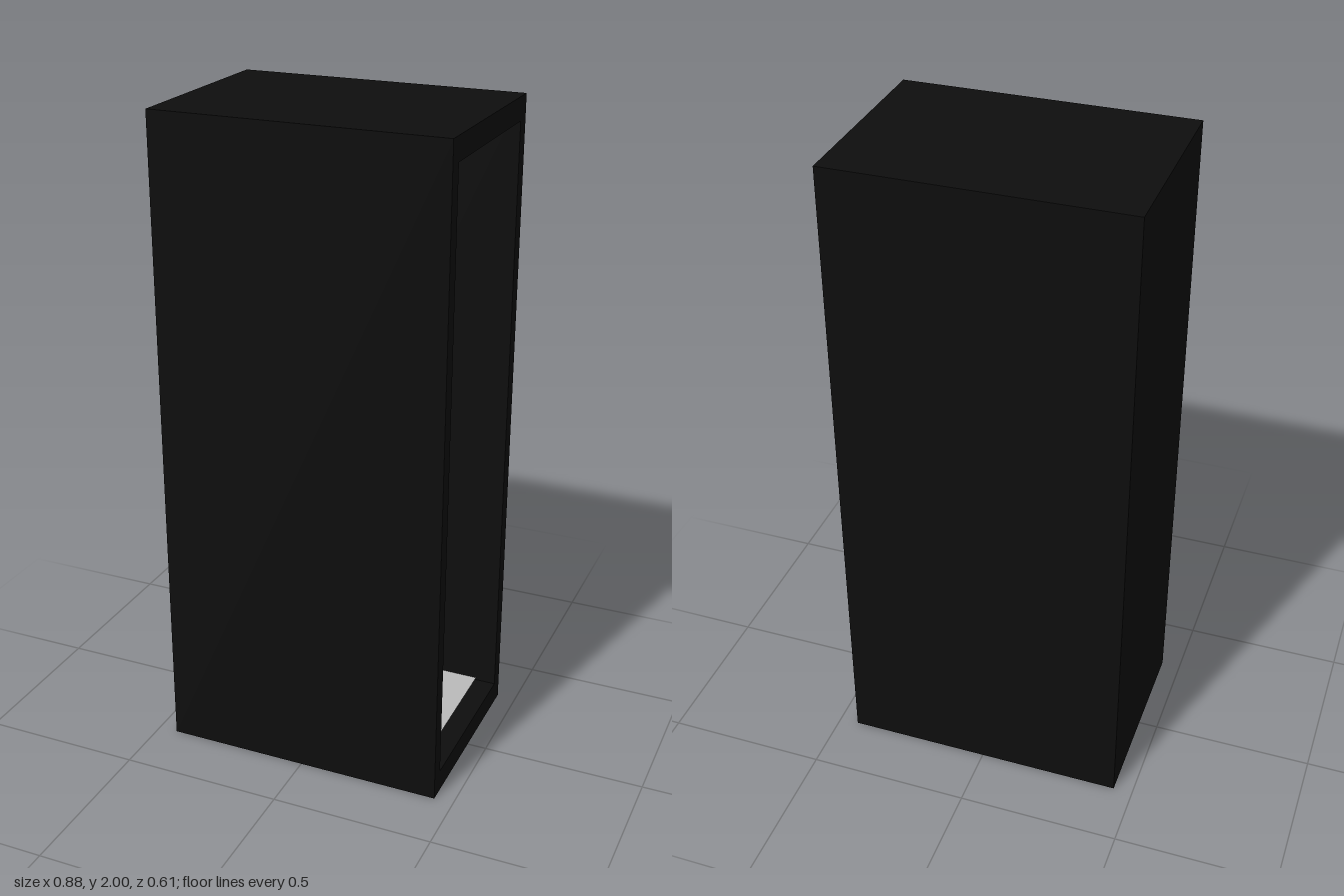
import * as THREE from 'three';

const mat = (name, color) => {
  const m = new THREE.MeshStandardMaterial({ color });
  m.name = name;
  return m;
};

export function createModel() {
  const black = mat('cabinet black', 0x0d0d0d);
  const frameGrey = mat('frame dark grey', 0x444444);
  const panelGrey = mat('panel grey', 0x5a5a5a);
  const red = mat('stripe red', 0xa8122c);
  const green = mat('lamp green', 0x14a866);
  const pale = mat('floor pale grey', 0xb8b8b8);

  const model = new THREE.Group();
  model.name = 'serverCabinet';

  const add = (parent, name, geometry, material, x, y, z) => {
    const mesh = new THREE.Mesh(geometry, material);
    mesh.name = name;
    mesh.position.set(x, y, z);
    parent.add(mesh);
    return mesh;
  };
  const box = (w, h, d) => new THREE.BoxGeometry(w, h, d);

  // Cabinet shell, open on the +x side
  const W = 0.88, H = 2, D = 0.61, wall = 0.045, cap = 0.07;
  const shell = new THREE.Group();
  shell.name = 'cabinetShell';
  model.add(shell);
  for (const s of [1, -1]) {
    add(shell, s > 0 ? 'frontWall' : 'rearWall', box(W, H, wall), black, 0, H / 2, s * (D - wall) / 2);
    add(shell, s > 0 ? 'roof' : 'base', box(W, cap, D - 2 * wall), black,
      0, s > 0 ? H - cap / 2 : cap / 2, 0);
  }
  add(shell, 'closedEnd', box(wall, H - 2 * cap, D - 2 * wall), black, -(W - wall) / 2, H / 2, 0);

  // Pale floor sheet just above the base
  const floor = new THREE.PlaneGeometry(0.77, 0.515).rotateX(-Math.PI / 2);
  add(model, 'floorSheet', floor, pale, -0.008, 0.079, 0);

  // Bevelled surround of a server unit, facing +x
  const unitW = 0.514, unitH = 0.094, rim = 0.016, faceX = 0.235, depth = 0.026, bevel = 0.008;
  const rectangle = (target, w, h) => {
    target.moveTo(-w / 2, -h / 2);
    target.lineTo(w / 2, -h / 2);
    target.lineTo(w / 2, h / 2);
    target.lineTo(-w / 2, h / 2);
    target.closePath();
    return target;
  };
  const outline = rectangle(new THREE.Shape(), unitW, unitH);
  outline.holes.push(rectangle(new THREE.Path(), unitW - 2 * rim, unitH - 2 * rim));
  const surround = new THREE.ExtrudeGeometry(outline, {
    depth: depth - bevel, bevelEnabled: true, bevelSegments: 1,
    bevelSize: bevel, bevelThickness: bevel, bevelOffset: -bevel,
  }).rotateY(Math.PI / 2);

  const panelX = faceX - depth;
  const chassis = box(0.6, unitH - 0.004, unitW - 0.004);
  const panel = box(0.006, unitH - 2 * rim + 0.004, unitW - 2 * rim + 0.004);
  const stripe = box(0.009, unitH - 2 * rim + 0.008, 0.014);
  const lamp = new THREE.SphereGeometry(0.013, 12, 8);

  // Stack of identical server units
  const count = 18, firstY = 0.115, pitch = 0.1043;
  for (let i = 0; i < count; i++) {
    const unit = new THREE.Group();
    unit.name = `serverUnit${i + 1}`;
    unit.position.y = firstY + i * pitch;
    model.add(unit);
    add(unit, 'chassis', chassis, frameGrey, panelX - 0.3, 0, 0);
    add(unit, 'surround', surround, frameGrey, panelX, 0, 0);
    add(unit, 'panel', panel, panelGrey, panelX + 0.003, 0, 0);
    for (const z of [0.094, 0.072]) add(unit, 'stripe', stripe, red, panelX + 0.0075, 0, z);
    add(unit, 'statusLamp', lamp, green, panelX + 0.006, 0, 0.222);
  }

  // Dark backing seen through the gaps between units
  add(model, 'rackBacking', box(0.58, 1.86, 0.51), black, -0.11, 1, 0);
  return model;
}
